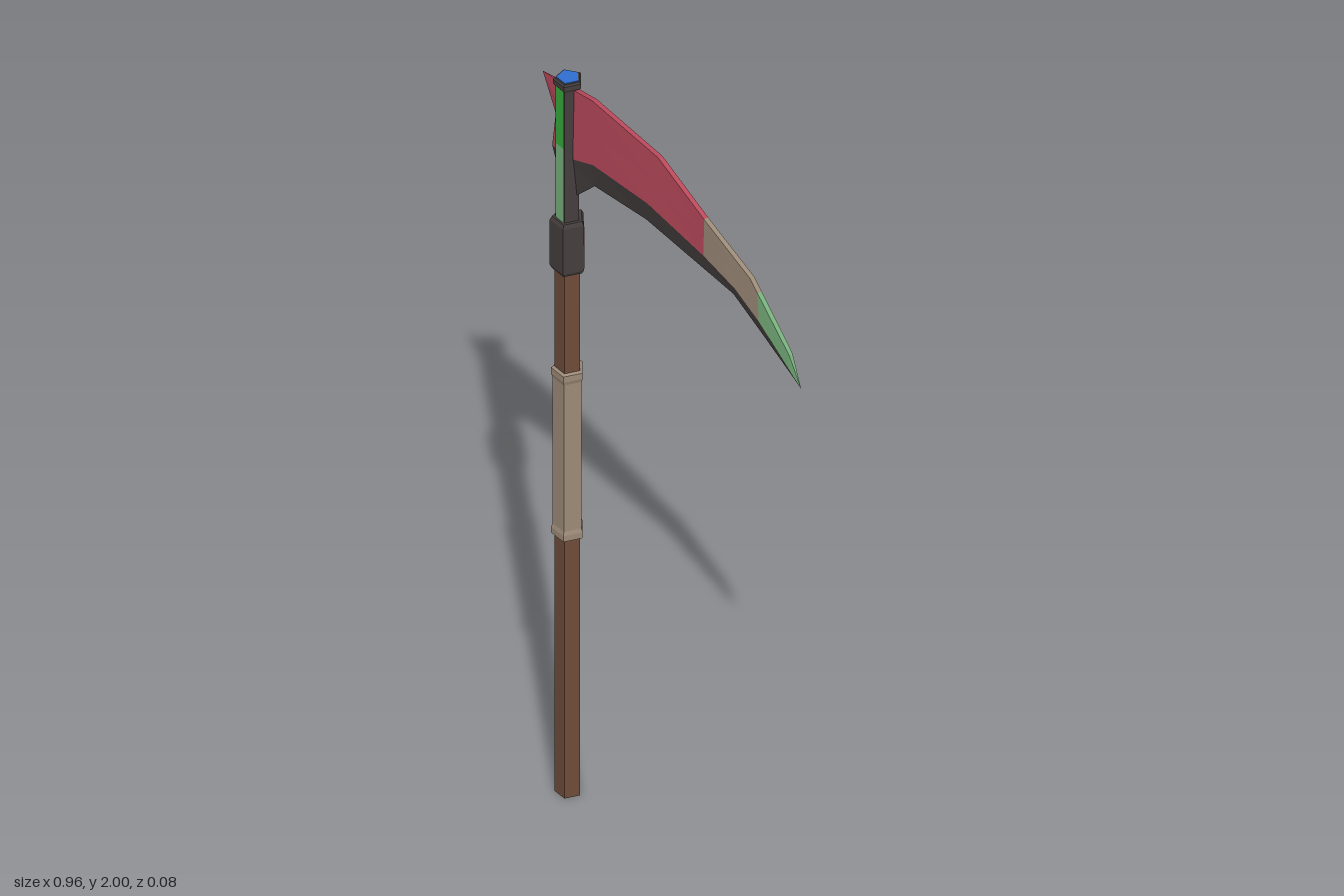
import * as THREE from 'three';

const mat = (name, color) => {
  const m = new THREE.MeshStandardMaterial({ color });
  m.name = name;
  return m;
};

export function createModel() {
  const wood = mat('wood', 0x6e4c39);
  const tan = mat('tan', 0x9c8a78);
  const iron = mat('dark iron', 0x453e3e);
  const red = mat('red', 0xb9495b);
  const green = mat('pale green', 0x78b07c);
  const bright = mat('bright green', 0x35ab3c);
  const blue = mat('blue', 0x2f6fd0);
  const clay = mat('clay', 0xa06858);

  const model = new THREE.Group();
  model.name = 'scythe';
  const shaft = new THREE.Group();
  shaft.name = 'shaft';
  shaft.position.set(-0.38, 0, 0.004);
  model.add(shaft);

  const add = (parent, name, geometry, material, x = 0, y = 0, z = 0) => {
    const mesh = new THREE.Mesh(geometry, material);
    mesh.name = name;
    mesh.position.set(x, y, z);
    parent.add(mesh);
    return mesh;
  };

  // Faceted five-sided turning from [radius, height] pairs, corner to the back
  const turned = (name, material, profile) => {
    const points = profile.map(([r, y]) => new THREE.Vector2(r, y));
    const g = new THREE.LatheGeometry(points, 5, Math.PI).toNonIndexed();
    g.computeVertexNormals();
    return add(shaft, name, g, material);
  };

  turned('pole', wood, [[0, 0], [0.031, 0], [0.031, 1.48], [0, 1.48]]);
  turned('gripWrap', tan, [
    [0.03, 0.72], [0.039, 0.724], [0.039, 0.74], [0.0355, 0.75],
    [0.0355, 1.16], [0.039, 1.17], [0.039, 1.186], [0.03, 1.19],
  ]);
  turned('collar', iron, [
    [0, 1.465], [0.037, 1.465], [0.042, 1.474], [0.042, 1.6], [0.037, 1.61], [0, 1.61],
  ]);
  turned('upperShaft', iron, [[0.029, 1.6], [0.029, 1.98]]);
  turned('cap', iron, [
    [0.029, 1.975], [0.035, 1.982], [0.035, 1.994], [0.031, 1.998], [0, 1.998],
  ]);
  turned('capInlay', blue, [[0.027, 1.997], [0.027, 2], [0, 2]]);

  // Green inlay down the front of the upper shaft
  const face = 0.029 * Math.cos(Math.PI / 5);
  add(shaft, 'upperInlay', new THREE.BoxGeometry(0.028, 0.16, 0.003), bright, 0, 1.897, face);
  add(shaft, 'lowerInlay', new THREE.BoxGeometry(0.028, 0.207, 0.003), green, 0, 1.7135, face);

  // Small plates on the rear left face of the collar
  const plates = new THREE.Group();
  plates.name = 'collarPlates';
  plates.rotation.y = Math.PI * 0.8;
  shaft.add(plates);
  const plateZ = 0.042 * Math.cos(Math.PI / 5);
  add(plates, 'clayPlate', new THREE.BoxGeometry(0.04, 0.035, 0.003), clay, 0, 1.563, plateZ);
  add(plates, 'woodPlate', new THREE.BoxGeometry(0.026, 0.066, 0.003), wood, -0.009, 1.511, plateZ);
  add(plates, 'bluePlate', new THREE.BoxGeometry(0.016, 0.066, 0.003), blue, 0.012, 1.511, plateZ);

  // Blade cross-sections: spine, middle, bevel line and cutting edge as [x, y, half thickness]
  const section = (t, r, e, spine = 0.006, ridge = 0.009, m) => [
    [...t, spine],
    m ? [...m, ridge] : [(t[0] + r[0]) / 2, (t[1] + r[1]) / 2, (spine + ridge) / 2],
    [...r, ridge],
    [...e, 0],
  ];
  const tip = [0.476, 1.634];
  const sections = [
    section([-0.48, 1.955], [-0.445, 1.767], [-0.41, 1.685], 0, 0, [-0.432, 1.865]),
    section([-0.38, 1.972], [-0.38, 1.775], [-0.38, 1.655]),
    section([-0.288, 1.987], [-0.283, 1.812], [-0.288, 1.746]),
    section([-0.045, 1.973], [-0.082, 1.825], [-0.098, 1.767]),
    section([0.124, 1.902], [0.124, 1.8], [0.124, 1.756], 0.006, 0.007),
    section([0.294, 1.838], [0.24, 1.777], [0.225, 1.751], 0.006, 0.007),
    section([0.322, 1.813], [0.328, 1.738], [0.325, 1.706], 0.006, 0.007),
    section([0.437, 1.709], [0.44, 1.665], [0.44, 1.652], 0.005, 0.005),
    section(tip, tip, tip, 0, 0),
  ];

  // Skin the given rows between two sections on both sides
  const skin = (name, material, from, to, rows, withSpine) => {
    const p = [];
    const quad = (a, b, c, d) => p.push(...a, ...b, ...c, ...a, ...c, ...d);
    const front = ([x, y, t]) => [x, y, t];
    const back = ([x, y, t]) => [x, y, -t];
    for (let i = from; i < to; i++) {
      const s = sections[i], n = sections[i + 1];
      for (const k of rows) {
        quad(front(s[k]), front(s[k + 1]), front(n[k + 1]), front(n[k]));
        quad(back(s[k]), back(n[k]), back(n[k + 1]), back(s[k + 1]));
      }
      if (withSpine) quad(front(s[0]), front(n[0]), back(n[0]), back(s[0]));
    }
    const g = new THREE.BufferGeometry();
    g.setAttribute('position', new THREE.Float32BufferAttribute(p, 3));
    g.computeVertexNormals();
    add(model, name, g, material);
  };

  skin('bladeBody', red, 0, 4, [0, 1], true);
  skin('bladeBand', tan, 4, 6, [0, 1], true);
  skin('bladeTip', green, 6, 8, [0, 1], true);
  skin('cuttingEdge', iron, 0, 8, [2], false);

  return model;
}
